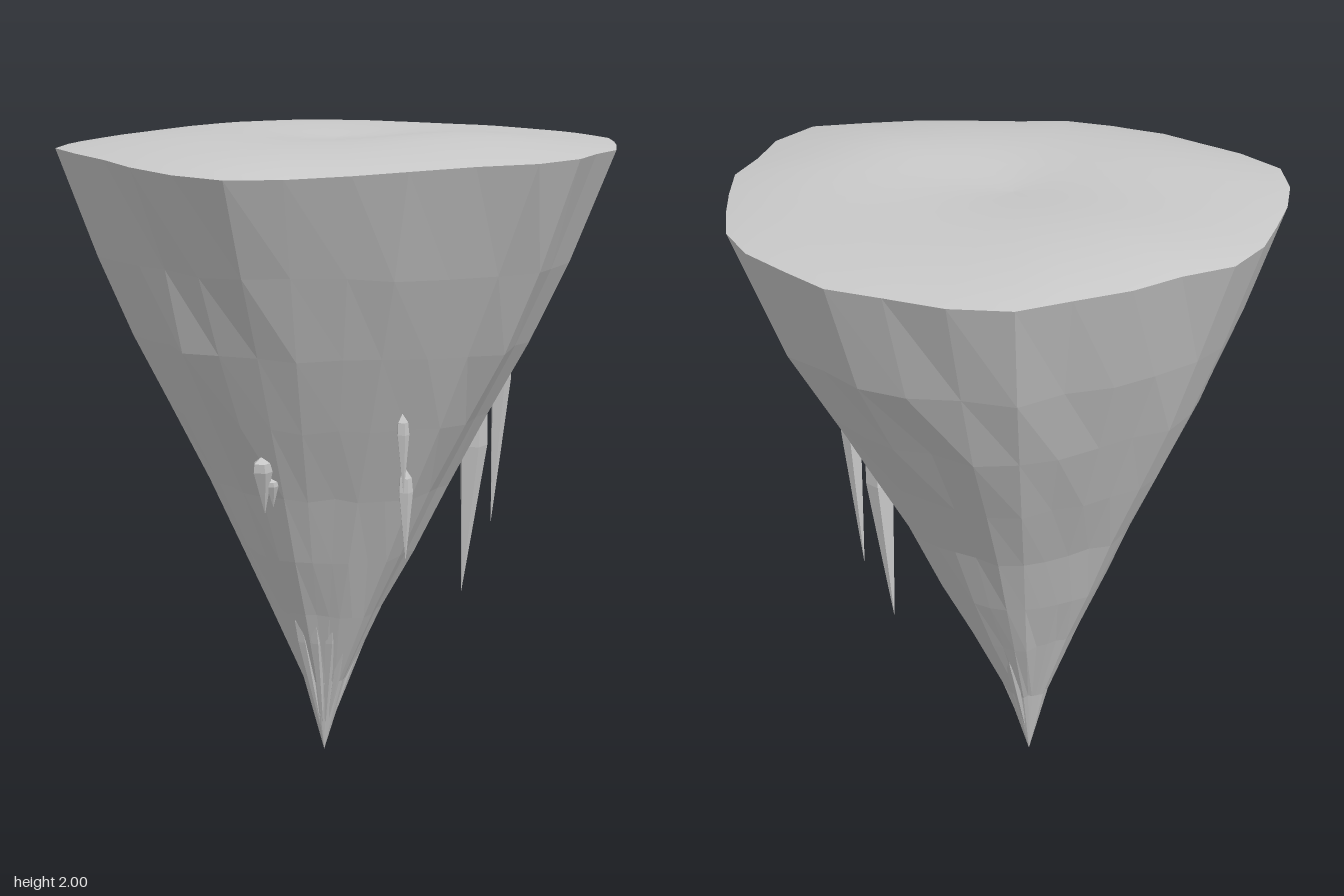
import * as THREE from 'three';

const rock = new THREE.MeshStandardMaterial({ color: 0xc8c8c8 });
rock.name = 'grey rock';

// Island outline (x, z), running from the back over +x to the front
const outline = [
  [0.16, -0.83], [0.33, -0.78], [0.48, -0.68], [0.62, -0.59], [0.71, -0.45], [0.80, -0.30],
  [0.84, -0.14], [0.83, 0.02], [0.81, 0.18], [0.78, 0.35], [0.70, 0.49], [0.63, 0.65],
  [0.50, 0.78], [0.33, 0.80], [0.15, 0.825], [0, 0.825], [-0.18, 0.81], [-0.34, 0.79],
  [-0.48, 0.69], [-0.60, 0.56], [-0.68, 0.42], [-0.77, 0.28], [-0.845, 0.11], [-0.82, -0.06],
  [-0.76, -0.22], [-0.68, -0.37], [-0.60, -0.51], [-0.48, -0.635], [-0.32, -0.68],
  [-0.17, -0.75], [0, -0.79],
];
const tip = { x: -0.05, z: -0.01 };
const bell = (d, w) => Math.exp(-(d * d) / (w * w));
const angleGap = (a, b) => Math.atan2(Math.sin(a - b), Math.cos(a - b));
const rimY = (x, z) => 1.943 + 0.004 * x - 0.04 * bell(Math.hypot(x + 0.3, z - 0.8), 0.5);

let seed = 7;
const random = () => (seed = (seed * 16807) % 2147483647) / 2147483647;

// Skin over closed rows of points, ordered from the tip over the rim to the centre
function skin(rows, flat) {
  const n = rows[0].length, index = [];
  for (let r = 0; r < rows.length - 1; r++) {
    for (let i = 0; i < n; i++) {
      const a = r * n + i, b = r * n + (i + 1) % n;
      index.push(a, a + n, b + n, a, b + n, b);
    }
  }
  let geo = new THREE.BufferGeometry();
  geo.setAttribute('position', new THREE.Float32BufferAttribute(rows.flat(2), 3));
  geo.setIndex(index);
  if (flat) geo = geo.toNonIndexed();
  geo.computeVertexNormals();
  return geo;
}

function add(group, name, geo) {
  const mesh = new THREE.Mesh(geo, rock);
  mesh.name = name;
  group.add(mesh);
}

// Worn hollows (negative) and bulges (positive): [angle, angular width, height, height spread, depth]
const dents = [
  [2.3, 0.14, 1.7, 0.1, -0.06],
  [2.36, 0.14, 1.32, 0.22, 0.06],
  [2.0, 0.12, 1.3, 0.4, -0.03],
  [0.04, 0.15, 1.22, 0.27, -0.11],
  [0.04, 0.15, 0.75, 0.25, -0.05],
  [0.8, 0.16, 1.5, 0.3, 0.02],
  [1.05, 0.12, 1.5, 0.35, -0.03],
  [-0.4, 0.14, 1.6, 0.25, 0.025],
  [-0.78, 0.25, 1.62, 0.15, 0.025],
  [-0.78, 0.35, 0.95, 0.3, -0.07],
  [-1.5, 0.4, 0.9, 0.25, -0.05],
];

// Faceted underside: outline shrinking towards the tip
function underside() {
  const levels = [[0, 0], [0.25, 0.083], [0.5, 0.215], [0.7, 0.33], [0.92, 0.45],
    [1.15, 0.59], [1.38, 0.725], [1.62, 0.855], [1.93, 1]];
  return skin(levels.map(([y, s]) => outline.map(([x, z]) => {
    if (s === 1) return [x, rimY(x, z), z];
    if (s === 0) return [tip.x, 0, tip.z];
    const a = Math.atan2(z, x);
    const wear = dents.reduce((sum, [angle, w, h, spread, depth]) =>
      sum + depth * bell(angleGap(a, angle), w) * bell(y - h, spread), 0);
    const k = s * (1 + wear + (random() - 0.5) * 0.014);
    return [tip.x + (x - tip.x) * k, y + (random() - 0.5) * 0.015, tip.z + (z - tip.z) * k];
  })), true);
}

// Gently rolling smooth ground on top
function ground() {
  const rings = [1, 0.95, 0.88, 0.78, 0.66, 0.53, 0.4, 0.27, 0.13, 0.001];
  return skin(rings.map((s) => outline.map(([ox, oz]) => {
    const x = ox * s, z = oz * s;
    const hills = 1.975 + 0.027 * bell(Math.hypot(x - 0.33, z - 0.4), 0.3)
      + 0.015 * bell(Math.hypot(x + 0.15, z + 0.45), 0.35)
      + 0.01 * bell(Math.hypot(x + 0.45, z - 0.2), 0.25)
      - 0.02 * bell(Math.hypot(x - 0.02, z - 0.08), 0.2);
    const rim = rimY(ox, oz);
    return [x, rim + (hills - rim) * (1 - s ** 5), z];
  })), false);
}

// Hanging shard: a five-sided spike leaning from its top to its point
function shard([tx, ty, tz], [bx, by, bz], radius) {
  const rows = [[0, 0], [0.35, 0.45], [0.75, 0.95], [0.9, 0.8], [1, 0.05]].map(([t, w]) =>
    Array.from({ length: 5 }, (_, i) => {
      const a = (i / 5) * Math.PI * 2;
      return [bx + (tx - bx) * t + Math.cos(a) * radius * w, by + (ty - by) * t,
        bz + (tz - bz) * t + Math.sin(a) * radius * w];
    }));
  return skin(rows, true);
}

export function createModel() {
  const island = new THREE.Group();
  island.name = 'floatingIsland';
  add(island, 'rockUnderside', underside());
  add(island, 'groundTop', ground());

  // Shards on the left flank and the front
  const shards = [
    [[0.42, 1.18, 0.07], [0.383, 0.54, 0.035], 0.047],
    [[0.505, 1.38, 0.03], [0.475, 0.76, 0.015], 0.034],
    [[0.16, 1.21, 0.505], [0.165, 0.97, 0.50], 0.02],
    [[0.175, 1.03, 0.42], [0.178, 0.75, 0.42], 0.024],
    [[-0.245, 1.06, 0.39], [-0.235, 0.88, 0.355], 0.032],
    [[-0.215, 0.99, 0.37], [-0.21, 0.9, 0.355], 0.02],
  ];
  shards.forEach(([top, point, r]) => add(island, 'hangingShard', shard(top, point, r)));

  // Thin ridges running down into the tip
  for (const a of [0.35, 1.1, 1.45, 1.8, 2.15, 5.4]) {
    const c = Math.cos(a), s = Math.sin(a);
    add(island, 'tipRidge', shard([tip.x + c * 0.165, 0.52, tip.z + s * 0.165],
      [tip.x + c * 0.005, 0.04, tip.z + s * 0.005], 0.02));
  }
  return island;
}
